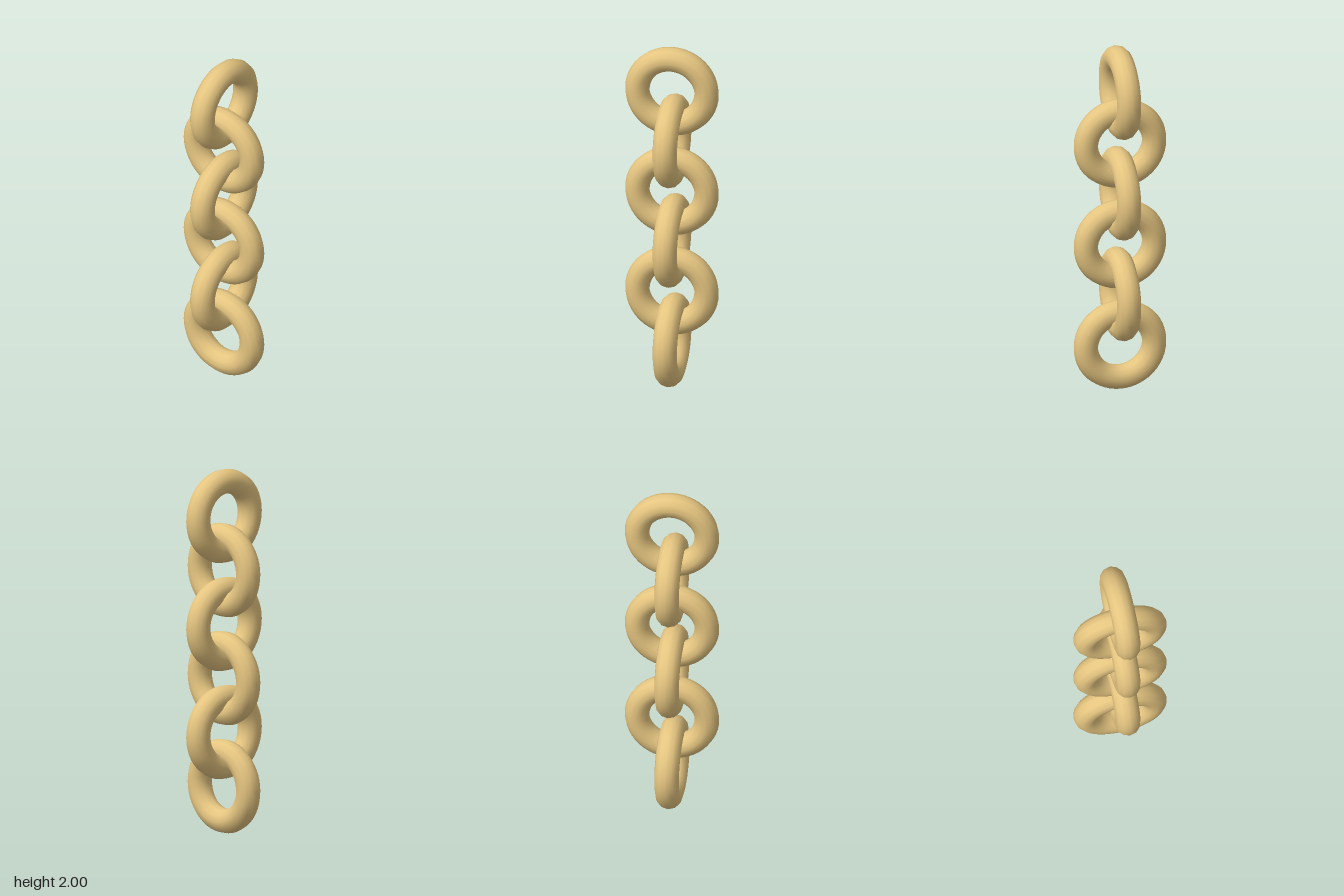
import * as THREE from 'three';

// Chain of interlocked round rings, each turned a quarter from the one above
export function createModel() {
  const group = new THREE.Group();
  group.name = 'chain';
  const count = 6, ringRadius = 0.19, tubeRadius = 0.067;
  const outer = ringRadius + tubeRadius;
  const spacing = (2 - 2 * outer) / (count - 1);
  const gold = new THREE.MeshStandardMaterial({ color: 0xe5c580 });
  const ring = new THREE.TorusGeometry(ringRadius, tubeRadius, 12, 48);

  for (let i = 0; i < count; i++) {
    const link = new THREE.Mesh(ring, gold);
    link.name = `chainLink${i + 1}`;
    link.position.y = 2 - outer - i * spacing;
    if (i % 2 === 1) link.rotation.y = Math.PI / 2;
    group.add(link);
  }
  return group;
}
